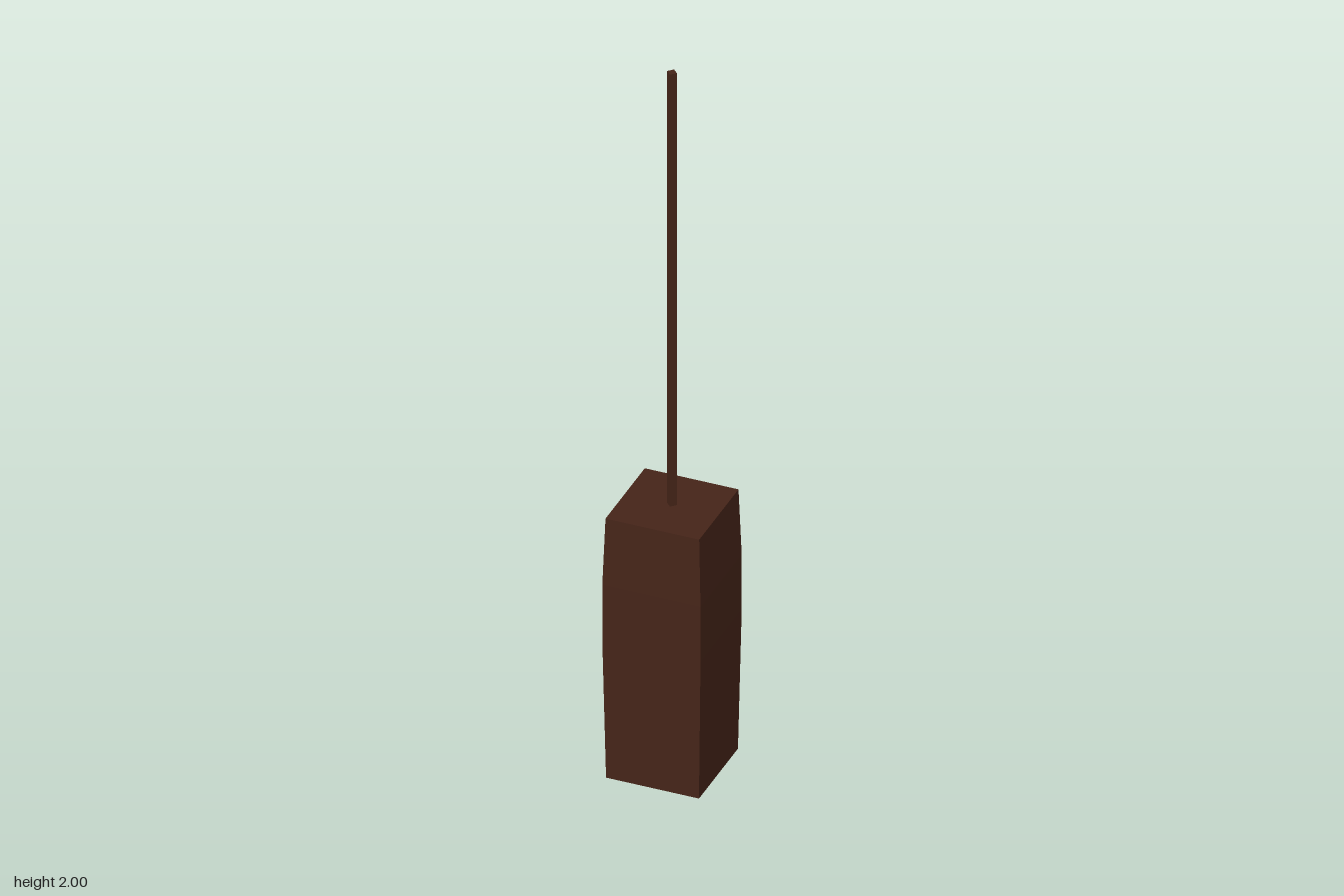
import * as THREE from 'three';

export function createModel() {
  const group = new THREE.Group();
  const wood = new THREE.MeshStandardMaterial({ color: 0x452418, flatShading: true });

  // Square block, slightly swollen above the middle: [half width, height]
  const profile = [[0, 0], [0.123, 0], [0.13, 0.4], [0.13, 0.56], [0.124, 0.75], [0, 0.75]]
    .map(([half, y]) => new THREE.Vector2(half * Math.SQRT2, y));
  const head = new THREE.Mesh(new THREE.LatheGeometry(profile, 4, Math.PI / 4), wood);
  head.name = 'head';
  group.add(head);

  // Thin four-sided rod, set corner-on to the block
  const rod = new THREE.Mesh(new THREE.CylinderGeometry(0.013, 0.013, 1.25, 4), wood);
  rod.name = 'rod';
  rod.position.y = 1.375;
  group.add(rod);

  return group;
}
